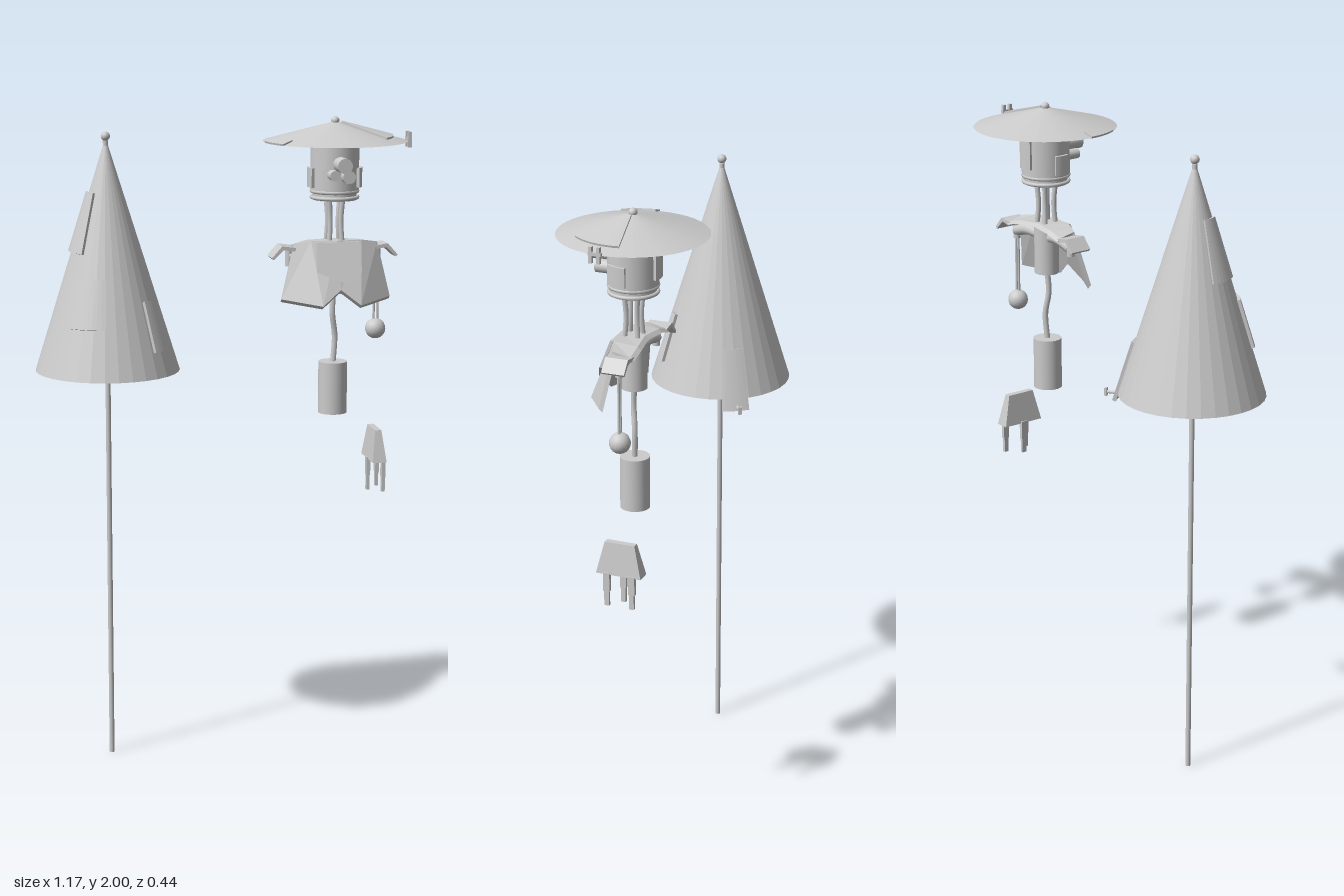
import * as THREE from 'three';

const flat = new THREE.MeshStandardMaterial({ color: 0xcccccc, flatShading: true, side: THREE.DoubleSide });
const smooth = new THREE.MeshStandardMaterial({ color: 0xcccccc });
const PX = -0.365, CX = 0.346; // parasol axis, figure axis

export function createModel() {
  const root = new THREE.Group();
  root.name = 'scarecrowAndParasol';

  function add(name, geo, x = 0, y = 0, z = 0, mat = smooth) {
    const m = new THREE.Mesh(geo, mat);
    m.name = name;
    m.position.set(x, y, z);
    root.add(m);
    return m;
  }
  // upright cylinder between two heights
  const post = (name, x, z, y0, y1, r0, r1 = r0, seg = 24) =>
    add(name, new THREE.CylinderGeometry(r1, r0, y1 - y0, seg), x, (y0 + y1) / 2, z);
  const ball = (name, x, y, z, r) => add(name, new THREE.SphereGeometry(r, 16, 12), x, y, z);
  const tube = (name, pts, r) => add(name, new THREE.TubeGeometry(
    new THREE.CatmullRomCurve3(pts.map(p => new THREE.Vector3(...p))), 12, r, 8), 0, 0, 0);

  // move every vertex of a geometry by a rule
  function warp(geo, rule) {
    const p = geo.attributes.position, v = new THREE.Vector3();
    for (let i = 0; i < p.count; i++) {
      v.fromBufferAttribute(p, i);
      rule(v);
      p.setXYZ(i, v.x, v.y, v.z);
    }
    geo.computeVertexNormals();
    return geo;
  }
  // curved plate on a cone or cylinder; k = radius lost per unit of height,
  // angles run in degrees from +x towards +z
  function plate(name, cx, radius, k, a0, a1, y0, y1, thick = 0.012) {
    const n = Math.hypot(1, k);
    const geo = warp(new THREE.BoxGeometry(1, 1, 1, 8, 1, 1), v => {
      const a = THREE.MathUtils.degToRad(a1 + (a0 - a1) * (v.x + 0.5));
      const y = y0 + (y1 - y0) * (v.y + 0.5);
      const off = thick * (v.z + 0.3);
      const r = radius(y) + off / n;
      v.set(r * Math.cos(a), y + off * k / n, r * Math.sin(a));
    });
    return add(name, geo, cx, 0, 0, flat);
  }

  // ---- parasol ----
  post('parasolPole', PX, 0, 0, 1.94, 0.008, 0.008, 12);
  add('parasolCanopy', new THREE.ConeGeometry(0.221, 0.71, 32, 1, true), PX, 1.595, 0, flat);
  ball('parasolFinial', PX, 1.953, 0, 0.014);
  const canopyK = 0.221 / 0.71, canopyR = y => canopyK * (1.95 - y);
  [[139, 190, 1.606, 1.785], [100, 137, 1.39, 1.535], [43, 54, 1.315, 1.465], [-43, -22, 1.205, 1.39]]
    .forEach(p => plate('canopyPatch', PX, canopyR, canopyK, ...p));
  // toggle on the hanging patch
  const toggle = new THREE.Group();
  toggle.name = 'patchToggle';
  toggle.position.set(PX + 0.203, 1.22, -0.137);
  toggle.rotation.y = THREE.MathUtils.degToRad(34);
  const stem = new THREE.Mesh(new THREE.CylinderGeometry(0.005, 0.005, 0.06, 8), smooth);
  stem.rotation.z = Math.PI / 2;
  stem.position.x = -0.005;
  const cap = new THREE.Mesh(new THREE.BoxGeometry(0.008, 0.024, 0.012), flat);
  cap.position.x = 0.024;
  toggle.add(stem, cap);
  root.add(toggle);

  // ---- hat ----
  add('hat', new THREE.ConeGeometry(0.222, 0.06, 48, 1, true), CX, 1.955, 0, flat);
  ball('hatFinial', CX, 1.987, 0, 0.013);
  const hatK = 3.7, hatR = y => hatK * (1.985 - y), hatY = r => 1.985 - r / hatK;
  plate('hatWedgePatch', CX, hatR, hatK, -10, 43, hatY(0.178), hatY(0.02), 0.008);
  plate('hatRimPatch', CX, hatR, hatK, 148, 178, hatY(0.222), hatY(0.185), 0.006);
  add('hatCharmBar', new THREE.BoxGeometry(0.01, 0.01, 0.04), 0.573, 1.93, 0.02, flat);
  for (const z of [0.008, 0.032])
    add('hatCharm', new THREE.BoxGeometry(0.012, 0.048, 0.01), 0.574, 1.927, z, flat);

  // ---- head ----
  post('head', CX, 0, 1.77, 1.935, 0.075, 0.075, 32);
  post('jaw', CX, 0, 1.745, 1.775, 0.068, 0.068, 32);
  for (const y of [1.753, 1.772]) {
    const ring = add('jawRing', new THREE.TorusGeometry(0.071, 0.006, 8, 32), CX, y, 0);
    ring.rotation.x = Math.PI / 2;
  }
  const headR = () => 0.075;
  [[-5, 40, 1.785, 1.845], [160, 195, 1.785, 1.845], [252, 288, 1.80, 1.90]]
    .forEach(p => plate('headPanel', CX, headR, 0, ...p, 0.012));
  // lens cluster
  [[0, 1.86, 0.023, 0.132], [-0.024, 1.828, 0.016, 0.105], [0.02, 1.823, 0.02, 0.105]].forEach(([x, y, r, z]) => {
    const lens = add('lens', new THREE.CylinderGeometry(r, r, z - 0.05, 24), CX + x, y, (z + 0.05) / 2);
    lens.rotation.x = Math.PI / 2;
  });

  // ---- neck and body ----
  for (let i = 0; i < 4; i++) {
    const a = Math.PI / 4 + i * Math.PI / 2, c = 0.03 * Math.cos(a), s = 0.03 * Math.sin(a);
    tube('neckCable', [[CX + c, 1.75, s], [CX + c * 0.8, 1.68, s * 0.8], [CX + c, 1.6, s]], 0.008);
  }
  post('torso', CX, 0, 1.455, 1.61, 0.039);
  tube('spineCable', [[CX, 1.47, 0], [CX - 0.004, 1.39, 0.004], [CX + 0.006, 1.32, -0.003], [CX, 1.23, 0]], 0.009);
  post('hips', CX, 0, 1.075, 1.238, 0.045);

  // ---- cape: rows from hem to neckline to shoulder back ----
  const rows = [
    [[-0.175, 1.445, 0.04], [-0.06, 1.43, 0.112], [0, 1.477, 0.095], [0.06, 1.43, 0.112], [0.17, 1.445, 0.04]],
    [[-0.13, 1.612, 0.01], [-0.08, 1.622, 0.03], [0, 1.622, 0.042], [0.08, 1.622, 0.03], [0.135, 1.612, 0.01]],
    [[-0.13, 1.6, -0.045], [-0.08, 1.615, -0.045], [0, 1.62, -0.035], [0.08, 1.615, -0.045], [0.135, 1.6, -0.045]],
  ];
  add('cape', warp(new THREE.BoxGeometry(4, 2, 1, 4, 2, 1), v => {
    const inner = v.z < 0;
    v.set(...rows[Math.round(v.y + 1)][Math.round(v.x + 2)]);
    if (inner) { v.y -= 0.01; v.z -= 0.012; }
  }), CX, 0, 0, flat);
  // folded flap over the chest
  const flap = new THREE.Shape([[-0.065, 1.618], [0.07, 1.618], [0.07, 1.53], [0.035, 1.49], [-0.07, 1.53]]
    .map(p => new THREE.Vector2(...p)));
  add('chestFlap', warp(new THREE.ExtrudeGeometry(flap, { depth: 0.01, bevelEnabled: false }),
    v => { v.z += 0.035 + 0.4 * (1.618 - v.y); }), CX, 0, 0, flat);

  // shoulder flaps and arms
  for (const s of [-1, 1]) {
    const path = [[0.125, 1.6], [0.168, 1.606], [0.2, 1.57], [0.194, 1.564], [0.163, 1.594], [0.125, 1.588]];
    const shape = new THREE.Shape(path.map(([x, y]) => new THREE.Vector2(s * x, y)));
    add('shoulderFlap', new THREE.ExtrudeGeometry(shape, { depth: 0.07, bevelEnabled: false }), CX, 0, -0.052, flat);
    tube('upperArm', [[CX + s * 0.02, 1.575, -0.005], [CX + s * 0.08, 1.58, -0.012], [CX + s * 0.14, 1.565, -0.012]], 0.018);
    post('armStub', CX + s * 0.14, -0.012, 1.54, 1.6, 0.012, 0.012, 16);
  }
  // ball hanging from the left arm
  for (const x of [0.479, 0.491]) post('hangingCord', x, -0.012, 1.35, 1.56, 0.004, 0.004, 8);
  ball('hangingBall', 0.485, 1.335, -0.012, 0.032);

  // ---- detached hand ----
  add('palm', warp(new THREE.BoxGeometry(1, 0.1, 1), v => {
    const low = v.y < 0;
    v.x *= low ? 0.045 : 0.02;
    v.z *= low ? 0.143 : 0.095;
  }), 0.487, 0.967, -0.012, flat);
  [[0.507, 0.025], [0.467, -0.012], [0.507, -0.055]].forEach(([x, z]) => {
    add('fingerUpper', new THREE.BoxGeometry(0.012, 0.06, 0.02), x, 0.893, z, flat);
    add('fingerTip', new THREE.BoxGeometry(0.01, 0.05, 0.015), x, 0.841, z, flat);
  });

  return root;
}
